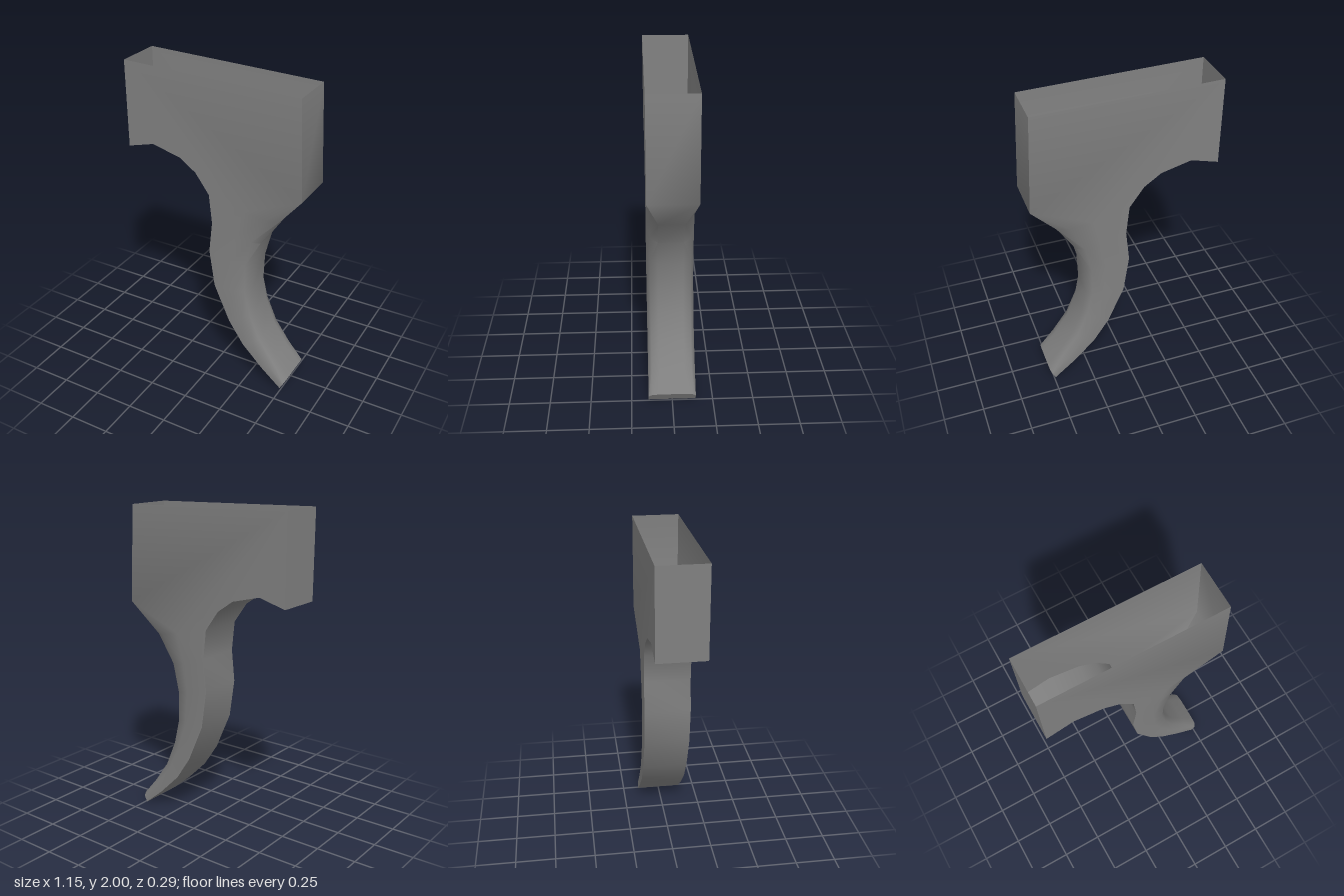
import * as THREE from 'three';
import { toCreasedNormals } from 'three/addons/utils/BufferGeometryUtils.js';

const W = 0.145;  // half thickness
const BW = 0.077; // half width of the flat rear strip

// Front edge of the housing, from the open top round the finger arch
const arch = [[-0.575, 2], [-0.572, 1.462], [-0.4, 1.51], [-0.215, 1.463], [-0.11, 1.39], [-0.02, 1.265]];
const rearTop = [0.543, 1.973], rearCorner = [0.575, 1.368];

// Curved lever: matching front and rear edge points, top to tip
const front = [[-0.02, 1.265], [0, 1.08], [-0.02, 0.88], [0.015, 0.64], [0.12, 0.4], [0.22, 0.25], [0.36, 0.11], [0.49, 0]];
const rear = [[0.41, 1.165], [0.295, 0.99], [0.252, 0.82], [0.245, 0.64], [0.272, 0.485], [0.335, 0.32], [0.43, 0.175], [0.522, 0.06]];

function createSkin() {
  const pos = [];
  const v = ([x, y], z) => [x, y, z];
  const tri = (a, b, c) => pos.push(...a, ...b, ...c);
  const quad = (a, b, c, d) => { tri(a, b, c); tri(a, c, d); };

  // Lever cross-sections with rounded rear corners
  const rows = front.map((f, i) => {
    const r = rear[i], t = i / (front.length - 1);
    const at = k => [r[0] + (f[0] - r[0]) * k, r[1] + (f[1] - r[1]) * k];
    const half = [[f, W], [at(0.47 - 0.1 * t), W], [at(0.16 - 0.08 * t), 0.123], [r, BW]];
    return [...half.map(([p, z]) => v(p, z)), ...half.reverse().map(([p, z]) => v(p, -z))];
  });
  const n = rows[0].length;
  for (let i = 0; i < rows.length - 1; i++) {
    const upper = rows[i], lower = rows[i + 1];
    for (let j = 0; j < n; j++) {
      const k = (j + 1) % n;
      // Diagonals mirror across the middle plane
      if (j < n / 2) quad(lower[j], lower[k], upper[k], upper[j]);
      else quad(lower[k], upper[k], upper[j], lower[j]);
    }
  }

  // Tip cap
  const tip = rows[rows.length - 1];
  for (let j = 1; j < n - 1; j++) tri(tip[0], tip[j + 1], tip[j]);

  // Housing front wall and arch
  for (let i = 0; i < arch.length - 1; i++) {
    quad(v(arch[i + 1], -W), v(arch[i + 1], W), v(arch[i], W), v(arch[i], -W));
  }

  // Flat housing sides, and the bevel running from the lever to the rear corner
  const top = rows[0];
  const outline = [...arch, [top[1][0], top[1][1]], rearCorner, rearTop];
  const faces = THREE.ShapeUtils.triangulateShape(outline.map(p => new THREE.Vector2(...p)), []);
  for (const s of [1, -1]) {
    const side = (a, b, c) => (s > 0 ? tri(a, b, c) : tri(a, c, b));
    for (const [a, b, c] of faces) side(v(outline[a], s * W), v(outline[b], s * W), v(outline[c], s * W));
    const m = j => (s > 0 ? top[j] : top[n - 1 - j]);
    for (const j of [1, 2]) side(m(j), m(j + 1), v(rearCorner, s * W));
  }

  // Rear slope and rear wall; the top stays open
  quad(top[3], top[4], v(rearCorner, -W), v(rearCorner, W));
  quad(v(rearCorner, W), v(rearCorner, -W), v(rearTop, -W), v(rearTop, W));

  const geometry = new THREE.BufferGeometry();
  geometry.setAttribute('position', new THREE.Float32BufferAttribute(pos, 3));
  return toCreasedNormals(geometry, 0.82);
}

export function createModel() {
  const group = new THREE.Group();
  group.name = 'trigger';
  const material = new THREE.MeshStandardMaterial({ color: 0x808080, side: THREE.DoubleSide });
  const mesh = new THREE.Mesh(createSkin(), material);
  mesh.name = 'triggerBody';
  group.add(mesh);
  return group;
}
